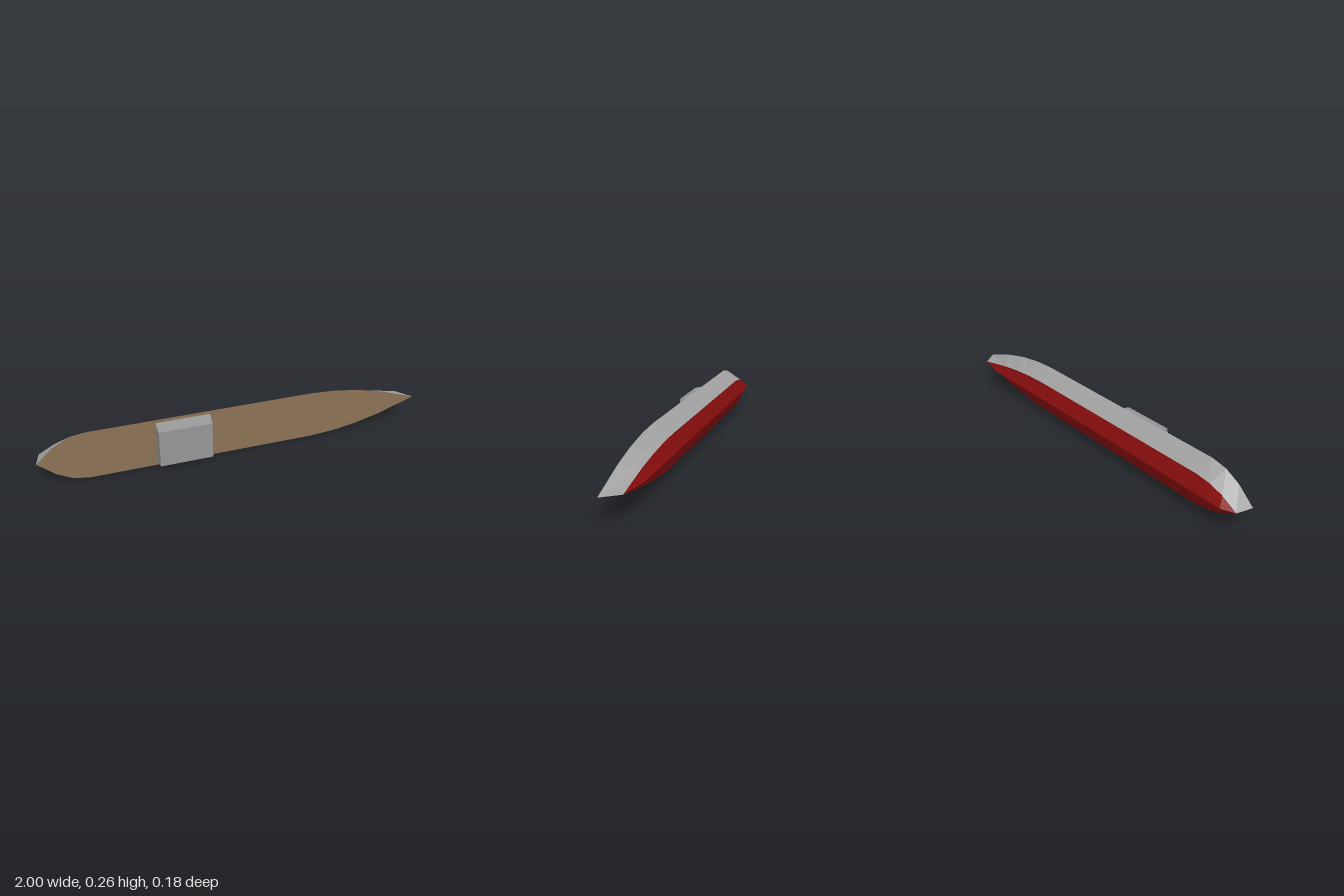
import * as THREE from 'three';

const mat = (name, color) => {
  const m = new THREE.MeshStandardMaterial({ color });
  m.name = name;
  return m;
};

// Non-indexed geometry from a flat list of points, three per triangle
function facets(points) {
  const g = new THREE.BufferGeometry().setFromPoints(points);
  g.computeVertexNormals();
  return g;
}

// Faceted skin between two lines of points; flip reverses the facing
function strip(a, b, flip) {
  const out = [];
  const tri = (p, q, r) => {
    if (q.clone().sub(p).cross(r.clone().sub(p)).length() > 1e-9) out.push(...(flip ? [p, r, q] : [p, q, r]));
  };
  for (let i = 0; i < a.length - 1; i++) {
    tri(a[i], a[i + 1], b[i]);
    tri(a[i + 1], b[i + 1], b[i]);
  }
  return out;
}

export function createModel() {
  const model = new THREE.Group();
  model.name = 'ship';
  const grey = mat('hull grey', 0xa0a0a0);
  const red = mat('bottom red', 0x8b0e0e);
  const wood = mat('deck brown', 0x8b7355);
  const cabinGrey = mat('cabin grey', 0x969696);
  const add = (name, geometry, material) => {
    const mesh = new THREE.Mesh(geometry, material);
    mesh.name = name;
    model.add(mesh);
  };

  // Stations along the hull: x and half breadth of the deck
  const stations = [[-1, 0], [-0.915, 0.075], [-0.84, 0.115], [-0.76, 0.13], [0.4, 0.13],
    [0.53, 0.122], [0.67, 0.1], [0.8, 0.068], [1, 0]];
  const mid = 0.13;
  // Line of the hull at depth z, fitted between two ends
  const line = (x0, x1, scale, z, side) => stations.map(([x, w]) =>
    new THREE.Vector3(x0 + (x + 1) / 2 * (x1 - x0), mid + side * w * scale, z));

  // Topsides and red bottom, mirrored about the centreline
  const topsides = [], bottom = [];
  for (const side of [1, -1]) {
    const deckLine = line(-1, 1, 1, 0.022, side);
    const waterLine = line(-0.98, 0.94, 0.59, -0.06, side);
    const keelLine = line(-0.915, 0.78, 0, -0.088, side);
    topsides.push(...strip(deckLine, waterLine, side < 0));
    bottom.push(...strip(waterLine, keelLine, side < 0));
  }
  add('topsides', facets(topsides), grey);
  add('bottom', facets(bottom), red);

  // Deck
  const outline = [
    ...stations.map(([x, w]) => new THREE.Vector2(x, mid - w)),
    ...stations.slice(1, -1).reverse().map(([x, w]) => new THREE.Vector2(x, mid + w)),
  ];
  const deck = new THREE.ShapeGeometry(new THREE.Shape(outline));
  deck.translate(0, 0, 0.022);
  add('deck', deck, wood);

  // Deckhouse, tapering away from the deck
  const house = new THREE.BoxGeometry(0.275, 0.226, 0.066).toNonIndexed();
  const p = house.attributes.position;
  for (let i = 0; i < p.count; i++) {
    if (p.getZ(i) > 0) {
      p.setY(i, p.getY(i) * 0.865);
      if (p.getX(i) > 0) p.setX(i, p.getX(i) - 0.007);
    }
  }
  house.computeVertexNormals();
  house.translate(-0.284, mid, 0.055);
  add('deckhouse', house, cabinGrey);

  return model;
}
